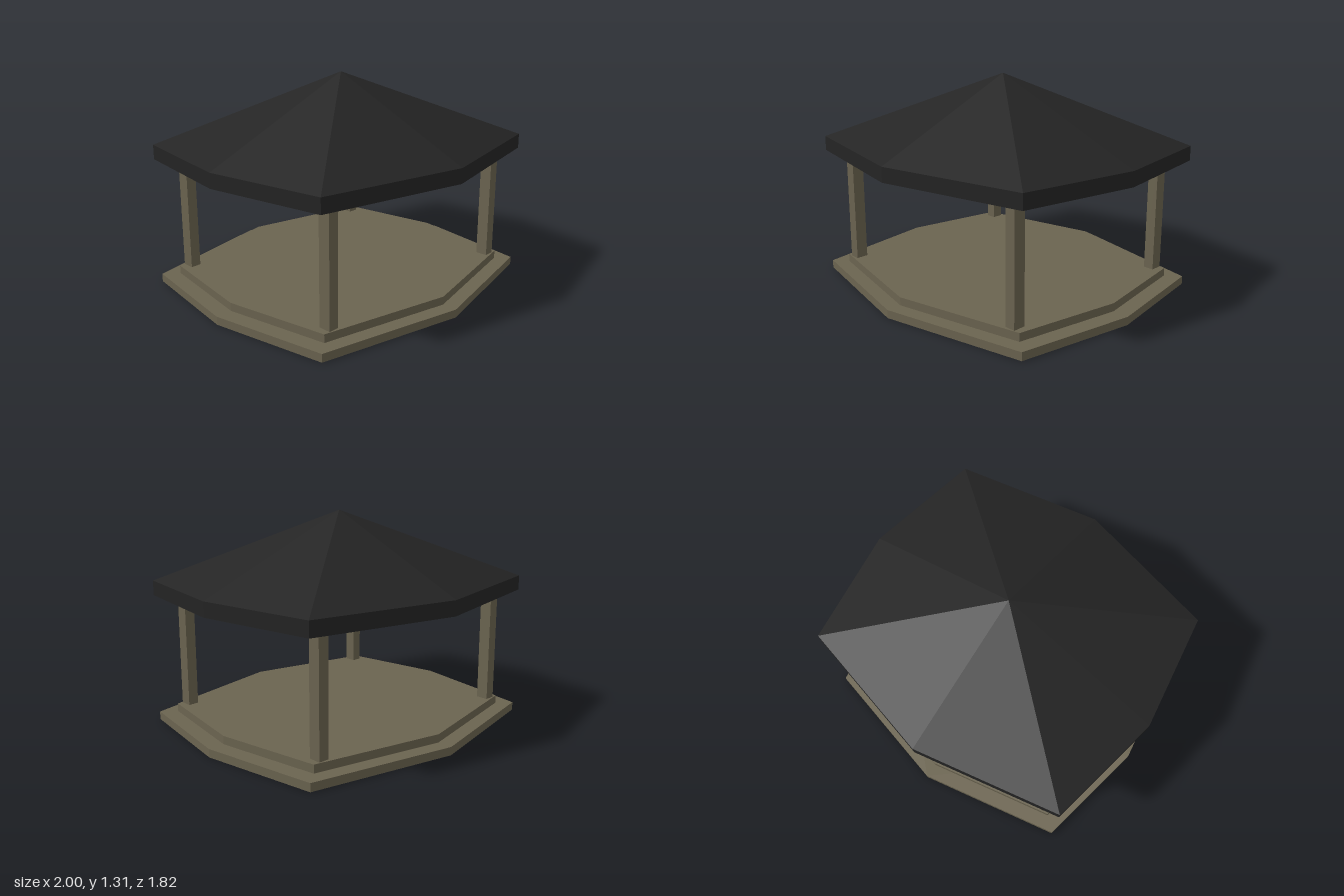
import * as THREE from 'three';

// Eight-cornered footprint, in order around the model
const OUTLINE = [[1, 0], [0.88, 0.715], [0, 0.91], [-0.88, 0.715], [-1, 0], [-0.88, -0.715], [0, -0.91], [0.88, -0.715]];

// Flat slab with the footprint, from height y0 to y1
function slabGeometry(scale, y0, y1) {
  const shape = new THREE.Shape(OUTLINE.map(([x, z]) => new THREE.Vector2(x * scale, z * scale)));
  const geometry = new THREE.ExtrudeGeometry(shape, { depth: y1 - y0, bevelEnabled: false });
  return geometry.rotateX(-Math.PI / 2).translate(0, y0, 0);
}

// Faceted roof: fascia band and slopes up to the apex, open below
function roofGeometry(y0, eave, apex) {
  const points = [];
  OUTLINE.forEach(([ax, az], i) => {
    const [bx, bz] = OUTLINE[(i + 1) % OUTLINE.length];
    points.push(ax, eave, az, 0, apex, 0, bx, eave, bz);
    points.push(ax, y0, az, ax, eave, az, bx, eave, bz);
    points.push(ax, y0, az, bx, eave, bz, bx, y0, bz);
  });
  const geometry = new THREE.BufferGeometry();
  geometry.setAttribute('position', new THREE.Float32BufferAttribute(points, 3));
  geometry.computeVertexNormals();
  return geometry;
}

export function createModel() {
  const group = new THREE.Group();
  const wood = new THREE.MeshStandardMaterial({ name: 'weathered wood', color: 0x6b6450 });
  const shingle = new THREE.MeshStandardMaterial({ name: 'dark roofing', color: 0x242424 });

  const add = (name, geometry, material) => {
    const mesh = new THREE.Mesh(geometry, material);
    mesh.name = name;
    group.add(mesh);
    return mesh;
  };

  // Two-stepped floor
  add('lowerStep', slabGeometry(1, 0, 0.05), wood);
  add('floor', slabGeometry(0.9, 0.05, 0.1), wood);

  // Corner posts
  const post = new THREE.BoxGeometry(0.065, 0.71, 0.075);
  for (const x of [-1, 1]) {
    for (const z of [-1, 1]) {
      add(`${z > 0 ? 'front' : 'back'}${x > 0 ? 'Left' : 'Right'}Post`, post, wood)
        .position.set(x * 0.722, 0.455, z * 0.608);
    }
  }

  // Roof with a flat wooden ceiling
  add('roof', roofGeometry(0.8, 0.89, 1.31), shingle);
  add('ceiling', slabGeometry(0.998, 0.8, 0.808), wood);

  return group;
}
